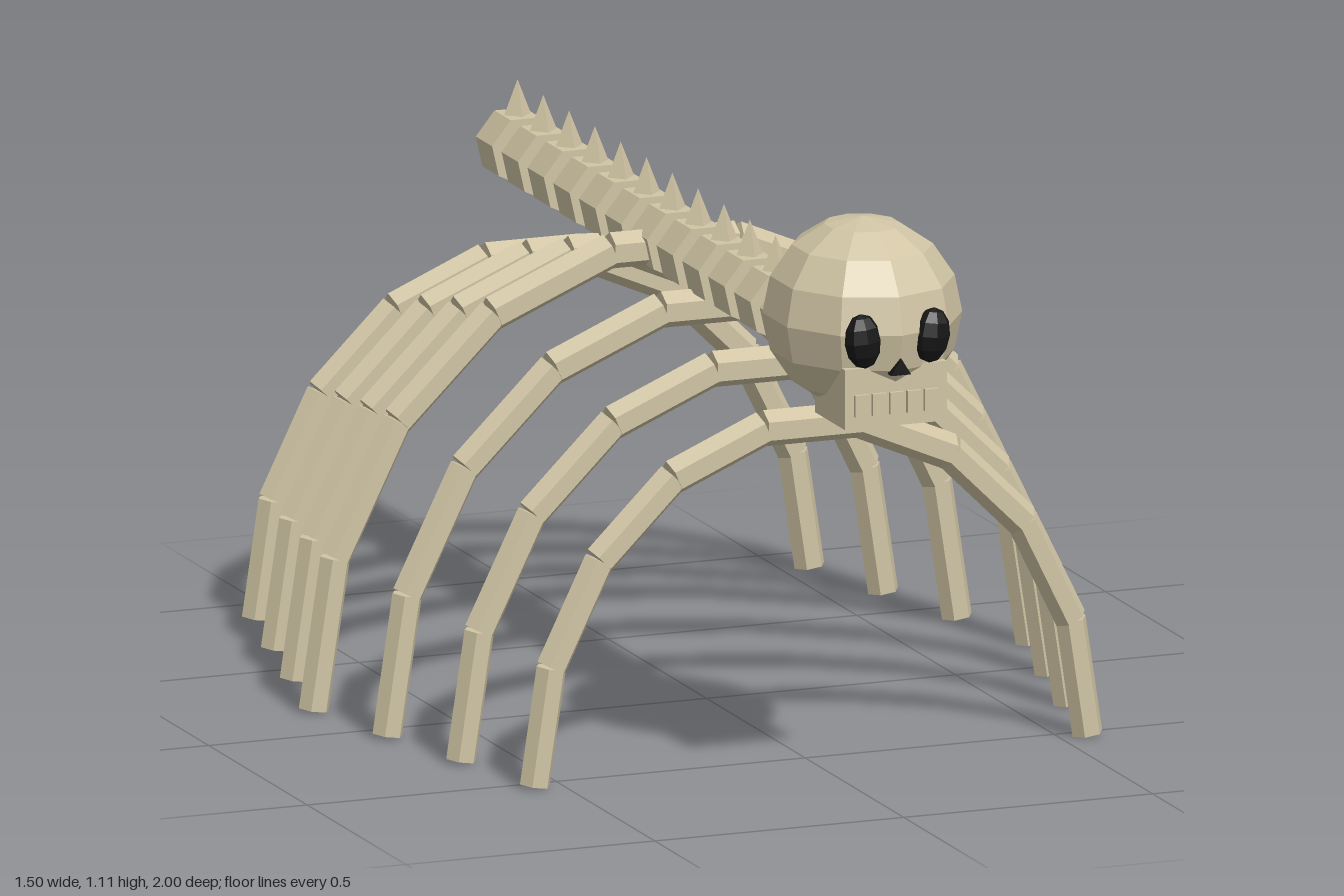
import * as THREE from 'three';

export function createModel() {
  const model = new THREE.Group();
  model.name = 'skeleton';

  const bone = new THREE.MeshStandardMaterial({ color: 0xd0c4a4, flatShading: true });
  bone.name = 'bone';
  const socket = new THREE.MeshStandardMaterial({ color: 0x151515, flatShading: true });
  socket.name = 'dark socket';

  function add(parent, name, geometry, material, x = 0, y = 0, z = 0) {
    const mesh = new THREE.Mesh(geometry, material);
    mesh.name = name;
    mesh.position.set(x, y, z);
    parent.add(mesh);
    return mesh;
  }

  function addGroup(name) {
    const group = new THREE.Group();
    group.name = name;
    model.add(group);
    return group;
  }

  // Spine: separate seven-sided vertebrae, each with a spike
  const spine = addGroup('spine');
  const vertebraGeo = new THREE.CylinderGeometry(0.069, 0.069, 0.083, 7).rotateX(Math.PI / 2);
  const spikeGeo = new THREE.ConeGeometry(0.032, 0.08, 4);
  for (let i = 0; i < 13; i++) {
    const z = 0.612 - i * 0.1309;
    add(spine, 'vertebra', vertebraGeo, bone, 0, 0.843, z);
    add(spine, 'spike', spikeGeo, bone, 0, 0.932, z);
  }

  // Ribs: arches of nine straight hexagonal pieces, largest in the middle
  const radii = [0.03, 0.031, 0.033, 0.035, 0.035];
  const ribPoint = (w, h, step) => {
    const a = (step * Math.PI) / 9;
    return new THREE.Vector3(w * Math.cos(a), 0.005 + h * Math.sin(a), 0);
  };
  for (let i = 0; i < 7; i++) {
    const size = 3 - Math.abs(i - 3);
    const w = 0.555 + size * 0.055;
    const h = 0.655 + size * 0.062;
    const rib = addGroup('rib');
    rib.position.z = 0.53 - i * 0.235;
    for (let s = 0; s < 9; s++) {
      const a = ribPoint(w, h, s);
      const b = ribPoint(w, h, s + 1);
      const r = radii[Math.min(s, 8 - s)];
      const geo = new THREE.CylinderGeometry(r, r, a.distanceTo(b), 6).rotateY(Math.PI / 6);
      const piece = add(rib, 'ribSegment', geo, bone);
      piece.position.copy(a).add(b).multiplyScalar(0.5);
      piece.rotation.z = Math.atan2(b.y - a.y, b.x - a.x) - Math.PI / 2;
    }
  }

  // Skull
  const skull = addGroup('skull');
  const craniumGeo = new THREE.SphereGeometry(0.185, 10, 8).rotateY(Math.PI / 2).scale(1, 1, 1.1);
  add(skull, 'cranium', craniumGeo, bone, 0, 0.925, 0.79);
  add(skull, 'jaw', new THREE.BoxGeometry(0.205, 0.115, 0.15), bone, 0, 0.803, 0.885);

  // Teeth along the front of the jaw
  const toothGeo = new THREE.BoxGeometry(0.028, 0.042, 0.012);
  for (let i = -2; i <= 2; i++) add(skull, 'tooth', toothGeo, bone, i * 0.035, 0.79, 0.962);

  // Eye sockets
  const eyeGeo = new THREE.SphereGeometry(1, 8, 6).scale(0.037, 0.053, 0.028);
  for (const side of [-1, 1]) {
    const eye = add(skull, 'eyeSocket', eyeGeo, socket, side * 0.069, 0.915, 0.968);
    eye.rotation.z = -side * 0.1;
  }

  // Nose opening
  const nose = new THREE.Shape();
  nose.moveTo(-0.02, 0.848);
  nose.lineTo(0.02, 0.848);
  nose.lineTo(0, 0.88);
  const noseGeo = new THREE.ExtrudeGeometry(nose, { depth: 0.02, bevelEnabled: false });
  add(skull, 'noseOpening', noseGeo, socket, 0, 0, 0.968);

  return model;
}
